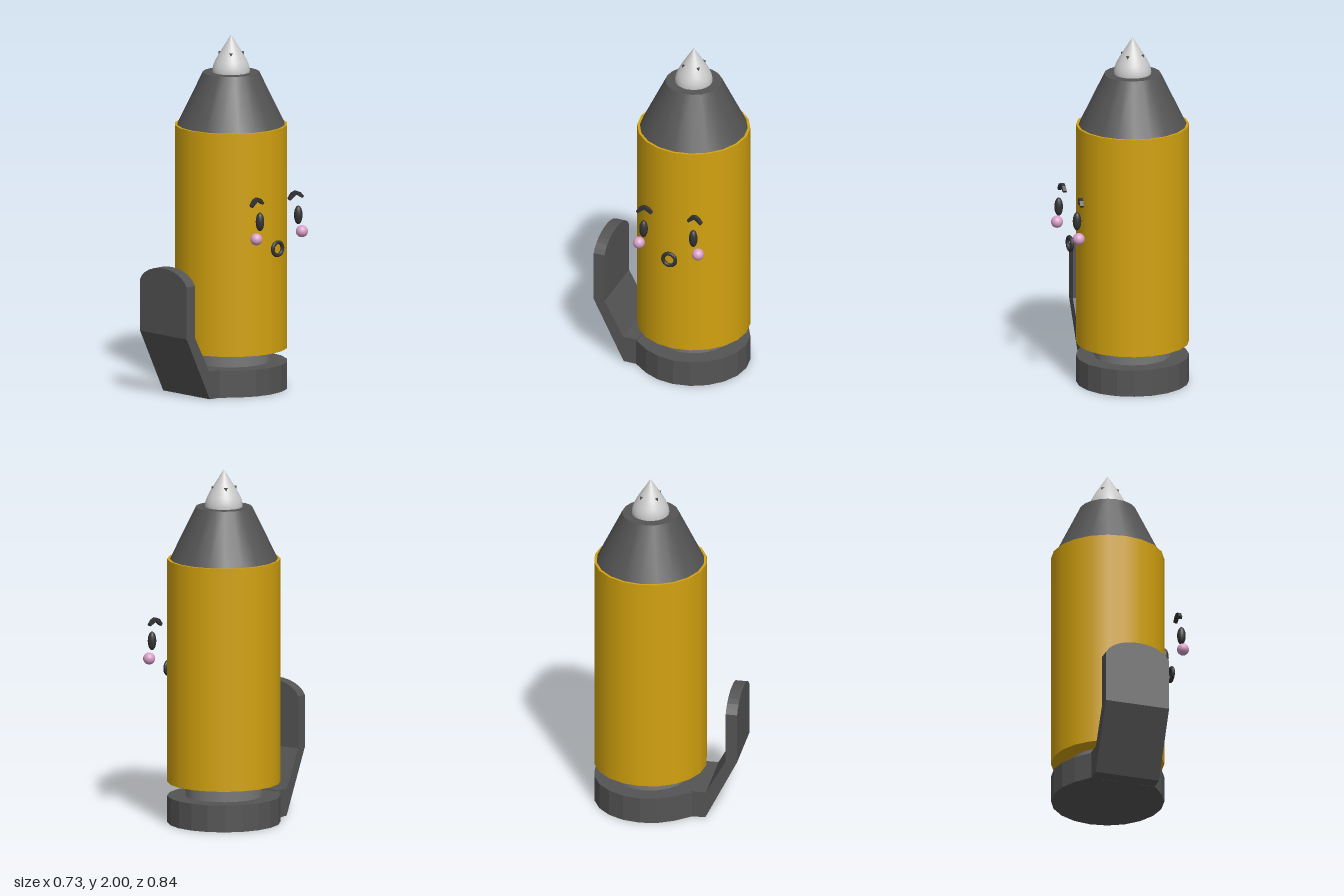
import * as THREE from 'three';

const mat = (color) => new THREE.MeshStandardMaterial({ color });

export function createModel() {
  const model = new THREE.Group();
  model.name = 'penWithFace';
  // everything is laid out around the barrel axis
  model.position.set(-0.052, 0, -0.107);
  const outer = new THREE.Group();
  outer.name = 'model';
  outer.add(model);

  const dark = mat(0x545454), gold = mat(0xd2a20f), grey = mat(0xcccccc);
  const neckGrey = mat(0x777777), black = mat(0x333333), pink = mat(0xd8a0c8);

  const add = (name, geometry, material, x = 0, y = 0, z = 0) => {
    const m = new THREE.Mesh(geometry, material);
    m.name = name;
    m.position.set(x, y, z);
    model.add(m);
    return m;
  };
  const shape = (pts) => new THREE.Shape(pts.map(([x, y]) => new THREE.Vector2(x, y)));
  const extrude = (s, depth) =>
    new THREE.ExtrudeGeometry(s, { depth, bevelEnabled: false, curveSegments: 12 });
  // profile drawn in (z, y), centred across x
  const sideExtrude = (pts, width) =>
    extrude(shape(pts), width).translate(0, 0, -width / 2).rotateY(-Math.PI / 2);

  // barrel, shoulder and neck
  const R = 0.316;
  const drum = (name, rTop, rBottom, y0, y1, material) =>
    add(name, new THREE.CylinderGeometry(rTop, rBottom, y1 - y0, 20), material, 0, (y0 + y1) / 2, 0);
  drum('barrel', R, R, 0.23, 1.495, gold);
  drum('shoulder', 0.158, 0.302, 1.494, 1.79, dark);
  drum('neck', 0.215, 0.215, 0.145, 0.24, neckGrey);

  // writing tip with a small block whose corners poke through
  const tip = [[0.103, 1.785], [0.105, 1.8], [0.101, 1.825], [0.09, 1.853],
    [0.07, 1.89], [0.048, 1.925], [0.024, 1.963], [0, 2]];
  add('tip', new THREE.LatheGeometry(tip.map(([x, y]) => new THREE.Vector2(x, y)), 40), grey);
  add('tipBlock', new THREE.BoxGeometry(0.1, 0.06, 0.1), dark, 0, 1.876, 0);

  // end cap: round at the back, drawn out to the clip at the front
  const half = 0.186;
  const outline = [[half, -0.272]];
  for (let i = 3; i <= 17; i++) {
    const a = (i * Math.PI) / 10;
    outline.push([R * Math.sin(a), -R * Math.cos(a)]);
  }
  outline.push([-half, -0.272]);
  add('endCap', extrude(shape(outline), 0.152).rotateX(-Math.PI / 2), dark);

  // clip: slanted arm, then an upright plate with a rounded top
  add('clipArm', sideExtrude([[0.265, 0], [0.347, 0.002], [0.527, 0.365], [0.462, 0.365],
    [0.35, 0.158], [0.265, 0.158]], half * 2), dark);
  const plate = new THREE.Shape();
  plate.moveTo(-half, 0.365);
  plate.lineTo(half, 0.365);
  plate.lineTo(half, 0.66);
  plate.bezierCurveTo(0.13, 0.771, -0.13, 0.771, -half, 0.66);
  plate.closePath();
  add('clipPlate', extrude(plate, 0.065), dark, 0, 0, 0.462);

  // face floating just off the left side
  const browProfile = [[-0.047, -0.012], [-0.04, -0.022], [0, 0.002], [0.04, -0.03],
    [0.049, -0.018], [0.028, 0.012], [0, 0.022], [-0.026, 0.012]];
  for (const s of [1, -1]) {
    const side = s > 0 ? 'right' : 'left';
    add(side + 'Eye', new THREE.SphereGeometry(0.024, 20, 14), black, 0.384, 1.01, s * 0.149)
      .scale.y = 2.2;
    add(side + 'Cheek', new THREE.SphereGeometry(0.034, 20, 14), pink, 0.384, 0.914, s * 0.177);
    const brow = add(side + 'Brow', sideExtrude(browProfile, 0.021), black, 0.362, 1.123, s * 0.151);
    if (s < 0) brow.rotation.y = -0.22;
  }
  add('mouth', new THREE.TorusGeometry(0.037, 0.011, 10, 24).rotateY(Math.PI / 2), black,
    0.372, 0.836, 0);

  return outer;
}
